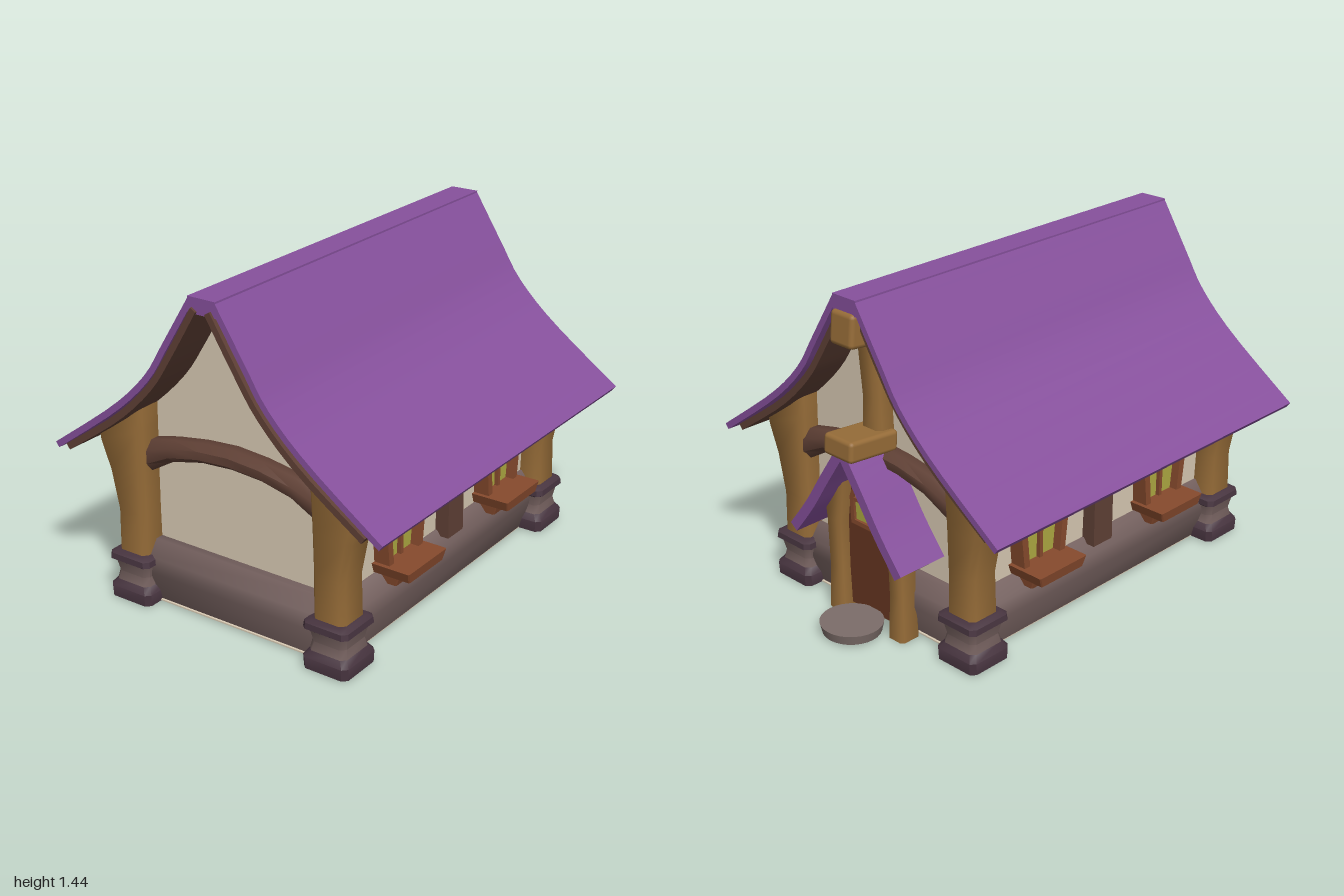
import * as THREE from 'three';
import { toCreasedNormals } from 'three/addons/utils/BufferGeometryUtils.js';
import { RoundedBoxGeometry } from 'three/addons/geometries/RoundedBoxGeometry.js';

const mat = (name, color) => {
  const m = new THREE.MeshStandardMaterial({ color });
  m.name = name;
  return m;
};

export function createModel() {
  const purple = mat('purple roof', 0x86509c), gold = mat('golden timber', 0x966c38);
  const cream = mat('cream plaster', 0xd8cab3), brown = mat('dark brown timber', 0x5f4035);
  const base = mat('foundation stone', 0x735f5d), cap = mat('dark stone', 0x47343f);
  const red = mat('reddish window wood', 0x864a2d), doorWood = mat('door wood', 0x663621);
  const glass = mat('yellow glass', 0xaca841), step = mat('step stone', 0x7c6d69);

  const house = new THREE.Group();
  house.name = 'cottage';
  const add = (name, geo, m, parent = house) => {
    const mesh = new THREE.Mesh(geo, m);
    mesh.name = name;
    parent.add(mesh);
    return mesh;
  };
  const group = (name, parent = house) => {
    const g = new THREE.Group();
    g.name = name;
    parent.add(g);
    return g;
  };
  const box = (name, m, x0, x1, y0, y1, z0, z1, parent) => {
    const b = add(name, new THREE.BoxGeometry(x1 - x0, y1 - y0, z1 - z0), m, parent);
    b.position.set((x0 + x1) / 2, (y0 + y1) / 2, (z0 + z1) / 2);
    return b;
  };

  // Skin a closed surface over equal-sized rings of [x, y, z] points
  const loft = (rings, crease = 0.7) => {
    const n = rings[0].length, pos = rings.flat(2), idx = [];
    for (let r = 0; r < rings.length - 1; r++)
      for (let i = 0; i < n; i++) {
        const a = r * n + i, b = r * n + (i + 1) % n;
        idx.push(a, b, b + n, a, b + n, a + n);
      }
    const last = (rings.length - 1) * n;
    for (let i = 1; i < n - 1; i++) idx.push(0, i + 1, i, last, last + i, last + i + 1);
    const g = new THREE.BufferGeometry();
    g.setAttribute('position', new THREE.Float32BufferAttribute(pos, 3));
    g.setIndex(idx);
    return toCreasedNormals(g, crease);
  };
  // Horizontal chamfered rectangle; yIn and yOut let the ring slope along x
  const ringY = (x0, x1, yIn, yOut, z0, z1, c = 0.02) =>
    [[x1 - c, z1], [x1, z1 - c], [x1, z0 + c], [x1 - c, z0], [x0 + c, z0], [x0, z0 + c], [x0, z1 - c], [x0 + c, z1]]
      .map(([x, z]) => [x, yIn + (yOut - yIn) * (x - x0) / (x1 - x0), z]);
  const squareY = (h, y, c) => ringY(-h, h, y, y, -h, h, c);

  const extrude = (shape, z0, z1, crease = 0.5) => {
    const g = new THREE.ExtrudeGeometry(shape, { depth: z1 - z0, bevelEnabled: false, curveSegments: 10 });
    g.translate(0, 0, z0);
    return toCreasedNormals(g, crease);
  };
  // Curved slab hanging a given thickness below a profile; s picks the side
  const slab = (points, thick, s, z0, z1) => {
    const curve = new THREE.SplineCurve(points.map(p => new THREE.Vector2(...p)));
    const top = curve.getPoints(14);
    const low = top.map((p, i) => {
      const t = curve.getTangent(i / 14);
      return new THREE.Vector2(p.x - t.y * thick, p.y + t.x * thick);
    });
    const outline = [...top, ...low.reverse()].map(p => new THREE.Vector2(p.x * s, p.y));
    return extrude(new THREE.Shape(outline), z0, z1);
  };

  // Main roof with timber lining
  const roof = group('roof');
  for (const s of [1, -1]) {
    add('roofSlope', slab([[0.8, 0.67], [0.475, 0.905], [0.3, 1.07], [0.2, 1.22], [0.06, 1.44]], 0.027, s, -0.845, 0.99), purple, roof);
    add('roofLining', slab([[0.73, 0.683], [0.455, 0.875], [0.28, 1.04], [0.175, 1.19], [0.045, 1.4]], 0.028, s, -0.825, 1), brown, roof);
  }
  box('ridgeCap', purple, -0.065, 0.065, 1.375, 1.44, -0.845, 0.99, roof);

  // Plaster body
  const half = [[0.47, 0.02], [0.49, 0.835], [0.44, 0.87], [0.27, 1.025], [0.165, 1.18], [0.035, 1.39]];
  const body = [...half, ...half.map(([x, y]) => [-x, y]).reverse()];
  add('walls', extrude(new THREE.Shape(body.map(p => new THREE.Vector2(...p))), -0.66, 0.8), cream);
  box('floor', cream, -0.5, 0.5, 0.006, 0.012, -0.7, 0.86);

  // Foundation with a soft bulge
  add('foundation', loft([[0.5, 0.01], [0.535, 0.14], [0.53, 0.21], [0.485, 0.275]]
    .map(([h, y]) => ringY(-h, h, y, y, -0.19 - h, 0.35 + h, 0.03)), 1), base);

  // Corner posts on stone footings
  for (const z of [0.833, -0.67]) for (const s of [1, -1]) {
    const corner = group('cornerPost');
    corner.position.set(0, 0, z);
    corner.rotation.y = s > 0 ? 0 : Math.PI;
    add('post', loft([
      ringY(0.42, 0.57, 0.2, 0.2, -0.075, 0.075),
      ringY(0.42, 0.566, 0.4, 0.4, -0.073, 0.073),
      ringY(0.417, 0.598, 0.6, 0.57, -0.076, 0.076),
      ringY(0.412, 0.64, 0.78, 0.69, -0.08, 0.08),
      ringY(0.41, 0.645, 0.89, 0.73, -0.08, 0.08),
    ], 0.9), gold, corner);
    const footing = group('footing', corner);
    footing.position.x = 0.495;
    add('footingBottom', loft([squareY(0.105, 0.005), squareY(0.107, 0.055), squareY(0.085, 0.085)]), cap, footing);
    add('footingMiddle', loft([squareY(0.088, 0.08), squareY(0.08, 0.12), squareY(0.092, 0.18)], 0.9), base, footing);
    add('footingTop', loft([squareY(0.09, 0.168), squareY(0.106, 0.18), squareY(0.103, 0.205), squareY(0.085, 0.218)]), cap, footing);
  }

  // Arched beams across both gables: [x, bottom, top]
  const arch = [[-0.47, 0.55, 0.7], [-0.42, 0.585, 0.722], [-0.3, 0.655, 0.75], [-0.15, 0.69, 0.774], [0, 0.7, 0.785]];
  const span = [...arch, ...arch.slice(0, 4).reverse().map(([x, a, b]) => [-x, a, b])];
  for (const z of [0.82, -0.68])
    add('archedBeam', loft(span.map(([x, a, b]) => Array.from({ length: 8 }, (_, i) => {
      const t = (i + 0.5) * Math.PI / 4;
      const k = 1 / Math.cos(Math.PI / 8);
      return [x, (a + b) / 2 + Math.cos(t) * k * (b - a) / 2, z + Math.sin(t) * 0.06];
    })), 0.9), brown);

  // Arched panel, flaring from w0 at the bottom to w1 where the arch springs
  const archPath = (Type, w0, w1, y0, y1, rise) => {
    const p = new Type();
    p.moveTo(-w0, y0);
    p.lineTo(w0, y0);
    p.lineTo(w1, y1);
    p.quadraticCurveTo(w1 * 0.6, y1 + rise, 0, y1 + rise);
    p.quadraticCurveTo(-w1 * 0.6, y1 + rise, -w1, y1);
    p.closePath();
    return p;
  };
  const archFrame = (outer, inner, z0, z1) => {
    const s = archPath(THREE.Shape, ...outer);
    s.holes.push(archPath(THREE.Path, ...inner));
    return extrude(s, z0, z1);
  };

  // Side windows and the timber between them
  for (const s of [1, -1]) {
    for (const z of [0.447, -0.312]) {
      const win = group('window');
      win.position.z = z;
      win.rotation.y = s * Math.PI / 2;
      const pane = [0.088, 0.118, 0.325, 0.615, 0.04];
      add('windowFrame', archFrame([0.118, 0.155, 0.315, 0.64, 0.065], pane, 0.46, 0.55), red, win);
      add('pane', extrude(archPath(THREE.Shape, ...pane), 0.505, 0.512), glass, win);
      box('mullion', red, -0.009, 0.009, 0.32, 0.655, 0.5, 0.53, win);
      for (const y of [0.465, 0.555]) box('glazingBar', red, -0.11, 0.11, y - 0.009, y + 0.009, 0.5, 0.528, win);
      add('sill', loft([
        ringY(-0.122, 0.122, 0.28, 0.28, 0.46, 0.645, 0.005),
        ringY(-0.138, 0.138, 0.325, 0.325, 0.46, 0.652, 0.005)]), red, win);
      add('sillBracket', loft([
        ringY(-0.088, 0.088, 0.225, 0.225, 0.46, 0.56, 0.005),
        ringY(-0.095, 0.095, 0.282, 0.282, 0.46, 0.58, 0.005)]), red, win);
    }
    const x = s * 0.49;
    box('sidePost', brown, x - 0.05, x + 0.05, 0.25, 0.83, 0, 0.115);
  }

  // Rear door under a small gabled canopy
  const entry = group('rearEntrance');
  entry.rotation.y = Math.PI;
  add('door', extrude(archPath(THREE.Shape, 0.15, 0.15, 0.03, 0.55, 0.14), 0.6, 0.745), doorWood, entry);
  const doorPane = [0.085, 0.09, 0.44, 0.54, 0.09];
  add('doorPane', extrude(archPath(THREE.Shape, ...doorPane), 0.744, 0.75), glass, entry);
  add('doorPaneFrame', archFrame([0.105, 0.11, 0.42, 0.54, 0.115], doorPane, 0.74, 0.762), red, entry);
  box('doorMullion', red, -0.008, 0.008, 0.43, 0.635, 0.742, 0.758, entry);
  box('doorBar', red, -0.09, 0.09, 0.522, 0.538, 0.742, 0.758, entry);
  const knob = add('doorKnob', new THREE.SphereGeometry(0.014, 10, 8), step, entry);
  knob.position.set(0.105, 0.33, 0.757);
  for (const s of [1, -1]) {
    const post = add('doorPost', loft([
      ringY(-0.045, 0.045, 0, 0, -0.05, 0.05, 0.012),
      ringY(-0.038, 0.038, 0.2, 0.2, -0.046, 0.046, 0.012),
      ringY(-0.04, 0.04, 0.42, 0.42, -0.05, 0.05, 0.012),
      ringY(-0.07, 0.045, 0.62, 0.52, -0.055, 0.055, 0.012)], 0.9), gold, entry);
    post.position.set(s * 0.18, 0, 0.75);
    post.rotation.y = s > 0 ? 0 : Math.PI;
    add('canopySlope', slab([[0.33, 0.39], [0.22, 0.53], [0.12, 0.68], [0.01, 0.84]], 0.045, s, 0.66, 0.895), purple, entry);
  }
  const ridge = add('canopyRidge', new RoundedBoxGeometry(0.165, 0.09, 0.25, 2, 0.018), gold, entry);
  ridge.position.set(0, 0.825, 0.785);
  ridge.rotation.x = -0.08;
  const slabStep = add('doorStep', new THREE.CylinderGeometry(0.135, 0.125, 0.042, 28), step, entry);
  slabStep.position.set(0, 0.031, 0.87);
  slabStep.scale.z = 0.13 / 0.135;

  // Rear king post and its ridge block
  add('kingPost', loft([
    ringY(-0.06, 0.06, 0.76, 0.76, 0.63, 0.74),
    ringY(-0.05, 0.05, 1.0, 1.0, 0.63, 0.74),
    ringY(-0.055, 0.055, 1.3, 1.3, 0.63, 0.76)], 0.9), gold, entry);
  const block = add('ridgeBlock', new RoundedBoxGeometry(0.13, 0.14, 0.2, 2, 0.02), gold, entry);
  block.position.set(0, 1.305, 0.768);
  block.rotation.x = -0.1;

  return house;
}
